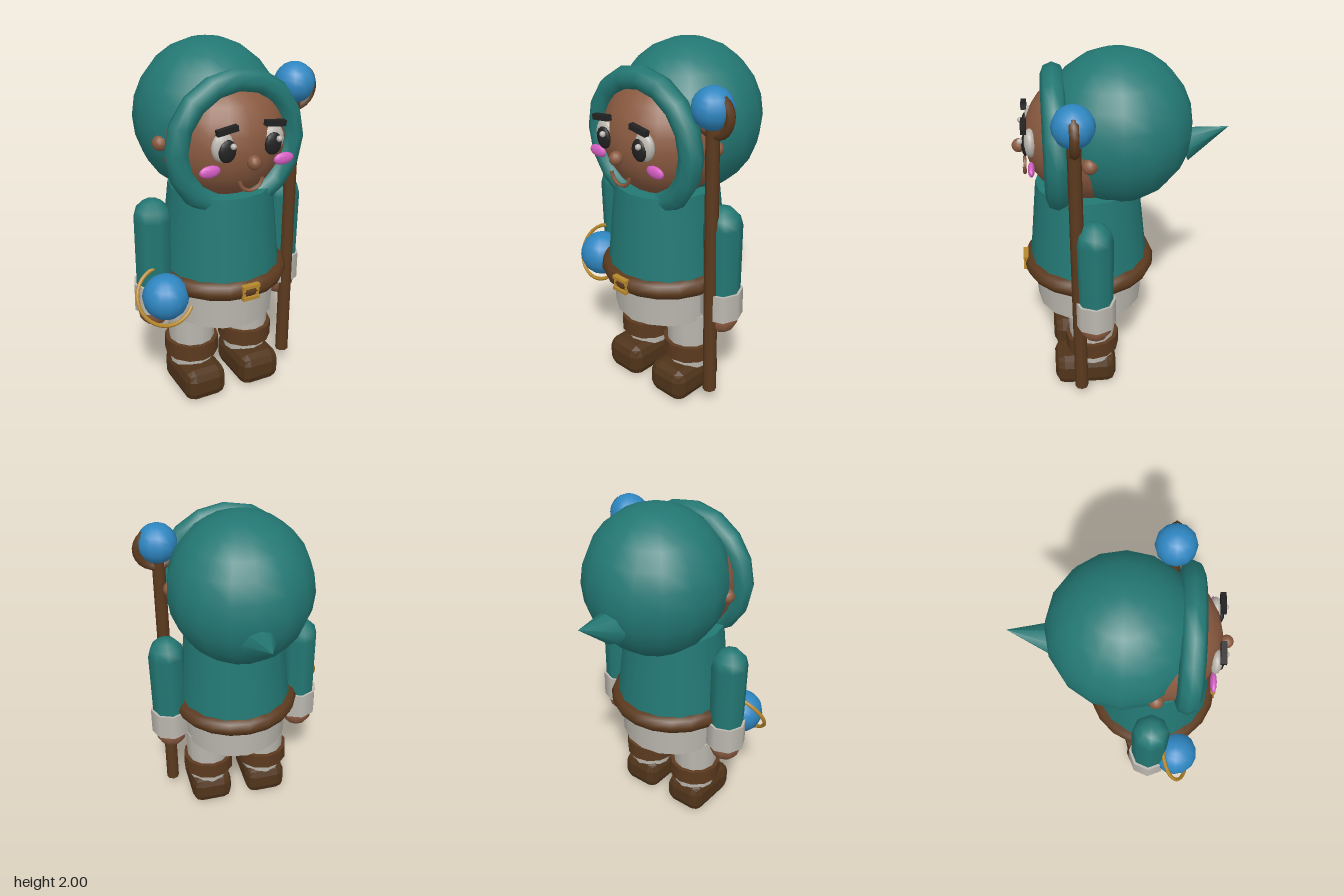
import * as THREE from 'three';
import { RoundedBoxGeometry } from 'three/addons/geometries/RoundedBoxGeometry.js';

const paint = (name, color, extra = {}) => {
  const m = new THREE.MeshStandardMaterial({ color, ...extra });
  m.name = name;
  return m;
};

export function createModel() {
  const teal = paint('teal cloth', 0x237874);
  const skin = paint('skin', 0x8a5a40);
  const linen = paint('linen', 0xbcb8b0);
  const leather = paint('leather', 0x5c3a1e);
  const boot = paint('boot leather', 0x50341a, { flatShading: true });
  const blue = paint('blue orb', 0x2e86c1);
  const gold = paint('gold', 0xb8892c);
  const pink = paint('pink', 0xd65fc4);
  const black = paint('black', 0x222222);

  const model = new THREE.Group();
  model.name = 'hoodedTraveller';
  const X = 0.012; // middle of the body
  const Z = 0.19;

  const add = (name, geometry, material, x, y, z, parent = model) => {
    const mesh = new THREE.Mesh(geometry, material);
    mesh.name = name;
    mesh.position.set(x, y, z);
    parent.add(mesh);
    return mesh;
  };
  const ball = (name, material, x, y, z, rx, ry = rx, rz = rx, w = 12, h = 8) =>
    add(name, new THREE.SphereGeometry(1, w, h).scale(rx, ry, rz), material, x, y, z);
  const tube = (name, material, x, z, y0, y1, r0, r1 = r0, n = 12) =>
    add(name, new THREE.CylinderGeometry(r1, r0, y1 - y0, n), material, x, (y0 + y1) / 2, z);

  // Head and hood
  ball('head', skin, X, 1.53, 0.18, 0.345, 0.345, 0.345, 20, 14);
  ball('hood', teal, X, 1.58, 0.02, 0.4, 0.42, 0.405, 16, 12);
  add('hoodRim', new THREE.TorusGeometry(0.335, 0.065, 8, 16), teal, X, 1.52, 0.355);
  const point = add('hoodPoint', new THREE.ConeGeometry(0.1, 0.27, 8), teal, X, 1.497, -0.458);
  point.quaternion.setFromUnitVectors(
    new THREE.Vector3(0, 1, 0), new THREE.Vector3(0, 0.095, -0.255).normalize());

  // Face
  ball('nose', skin, X, 1.483, 0.55, 0.036, 0.038, 0.038);
  const mouth = add('mouth', new THREE.TorusGeometry(0.065, 0.01, 6, 12, Math.PI), skin, X, 1.39, 0.525);
  mouth.rotation.z = Math.PI;
  for (const s of [-1, 1]) {
    ball('ear', skin, X + s * 0.35, 1.525, Z, 0.042);
    ball('eyeWhite', linen, X + s * 0.142, 1.565, 0.485, 0.064, 0.078, 0.035);
    ball('pupil', black, X + s * 0.13, 1.55, 0.512, 0.05, 0.06, 0.02);
    ball('eyeGlint', linen, X + s * 0.13 + 0.02, 1.58, 0.537, 0.016);
    ball('cheek', pink, X + s * 0.212, 1.447, 0.485, 0.06, 0.033, 0.018);
    const brow = add('eyebrow', new THREE.BoxGeometry(0.115, 0.03, 0.03), black, X + s * 0.135, 1.66, 0.515);
    brow.rotation.z = -s * 0.14;
  }

  // Tunic, belt, buckle and skirt
  tube('tunic', teal, X, Z, 0.76, 1.26, 0.335, 0.285, 16);
  tube('skirt', linen, X, Z, 0.5, 0.74, 0.302, 0.315, 16);
  add('belt', new THREE.TorusGeometry(0.32, 0.055, 8, 20).rotateX(Math.PI / 2), leather, X, 0.747, Z);
  for (const s of [-1, 1]) {
    add('buckleBar', new THREE.BoxGeometry(0.1, 0.018, 0.03), gold, X, 0.747 + s * 0.034, 0.553);
    add('buckleSide', new THREE.BoxGeometry(0.018, 0.07, 0.03), gold, X + s * 0.041, 0.747, 0.543);
  }

  // Arms and legs
  for (const s of [-1, 1]) {
    const ax = X + s * 0.4;
    tube('sleeve', teal, ax, 0.18, 0.65, 1.11, 0.1, 0.105, 8);
    ball('shoulder', teal, ax, 1.11, 0.18, 0.105, 0.108, 0.105, 8, 6);
    tube('cuff', linen, ax, 0.18, 0.57, 0.73, 0.115, 0.115, 8).material = linen;
    ball('hand', skin, ax, 0.55, 0.18, 0.094, 0.094, 0.094, 10, 8);

    const lx = 0.01 + s * 0.175;
    tube('leg', linen, lx, Z, 0.17, 0.52, 0.125, 0.138, 12);
    tube('bootStrap', leather, lx, Z, 0.23, 0.325, 0.155, 0.155, 12);
    add('boot', new RoundedBoxGeometry(0.25, 0.19, 0.36, 1, 0.055), boot, lx, 0.096, 0.235);
  }

  // Staff with a hook around its orb
  tube('staff', leather, 0.408, 0.268, 0.1, 1.68, 0.038, 0.036, 8);
  const hook = add('staffHook', new THREE.TorusGeometry(0.105, 0.028, 6, 14, 3.9), leather, 0.412, 1.74, 0.268);
  hook.rotation.z = -2.95;
  ball('staffOrb', blue, 0.408, 1.77, 0.268, 0.11, 0.11, 0.11, 12, 10);

  // Floating orb and its open tilted ring
  const charm = new THREE.Group();
  charm.name = 'orbRing';
  charm.position.set(-0.386, 0.71, 0.335);
  charm.rotation.x = -0.5;
  model.add(charm);
  const ring = add('goldRing', new THREE.TorusGeometry(0.16, 0.011, 6, 20, 3.95), gold, 0, 0, 0, charm);
  ring.rotation.z = 1.75;
  ball('handOrb', blue, -0.386, 0.706, 0.335, 0.127, 0.127, 0.127, 14, 10);

  return model;
}
